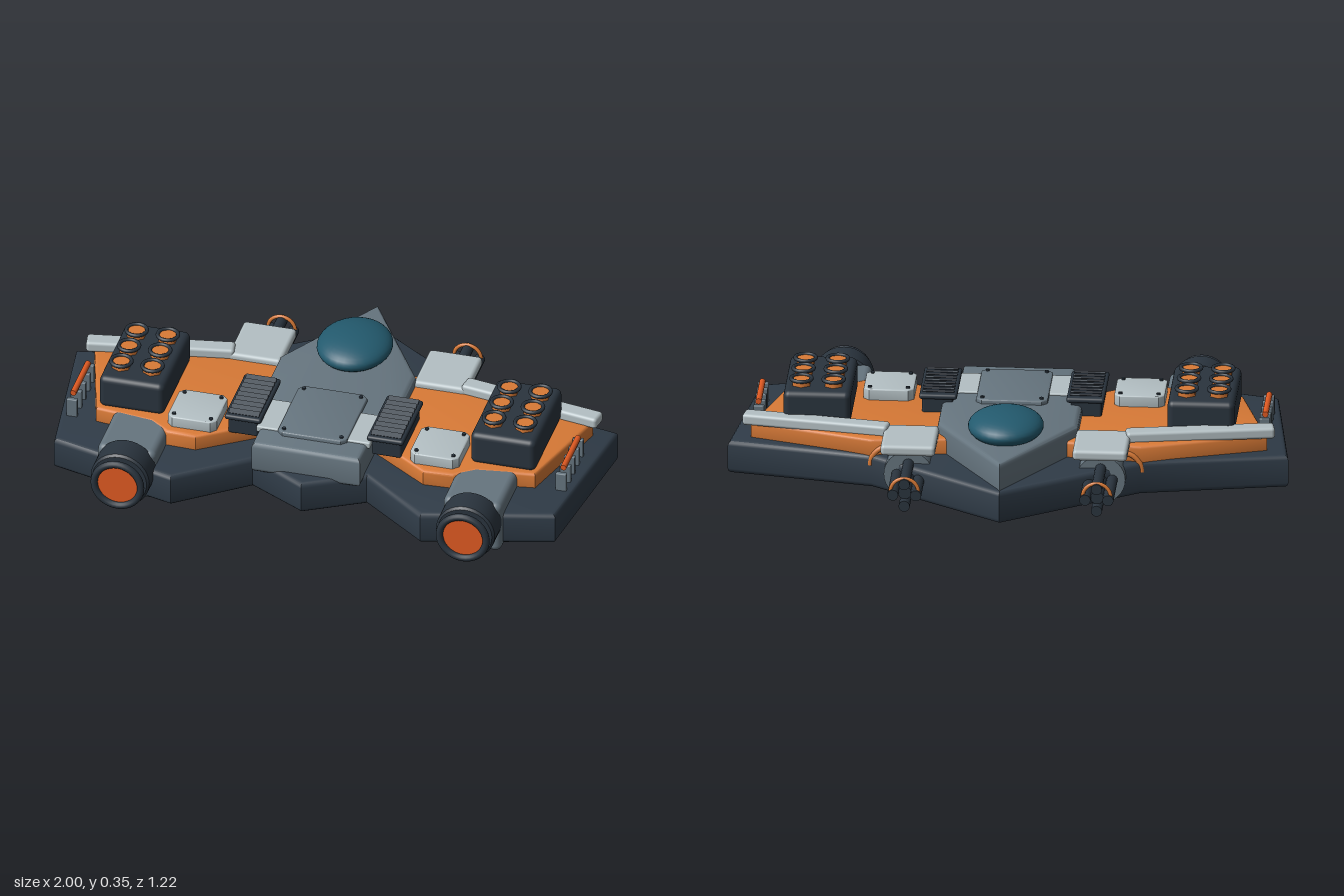
import * as THREE from 'three';
import { RoundedBoxGeometry } from 'three/addons/geometries/RoundedBoxGeometry.js';
import { toCreasedNormals } from 'three/addons/utils/BufferGeometryUtils.js';

const mat = (color) => new THREE.MeshStandardMaterial({ color });
const NAVY = mat(0x2f3b47), DARK = mat(0x2a343e), GREY = mat(0x66757f), LIGHT = mat(0xb4c0c4);
const ORANGE = mat(0xd97a36), GLOW = mat(0xe05a22), TEAL = mat(0x235a6e);

function add(parent, name, geometry, material, x = 0, y = 0, z = 0) {
  const mesh = new THREE.Mesh(geometry, material);
  mesh.name = name;
  mesh.position.set(x, y, z);
  parent.add(mesh);
  return mesh;
}

// Bevelled plate from an outline of [x, z] points, between two heights
function slab(points, y0, y1, bevel) {
  const shape = new THREE.Shape(points.map(([x, z]) => new THREE.Vector2(x, z)));
  const geo = new THREE.ExtrudeGeometry(shape, {
    depth: y1 - y0 - 2 * bevel, bevelThickness: bevel, bevelSize: bevel,
    bevelOffset: -bevel, bevelSegments: 3,
  });
  geo.rotateX(Math.PI / 2).translate(0, y1 - bevel, 0);
  return toCreasedNormals(geo, 0.6);
}

// Full outline from its +x half, listed nose to tail
const mirrored = (half) =>
  [...half, ...half.filter(([x]) => x > 0).reverse().map(([x, z]) => [-x, z])];

// Rounded box given by its limits
function block(parent, name, material, [x0, x1], [y0, y1], [z0, z1], r) {
  return add(parent, name, new RoundedBoxGeometry(x1 - x0, y1 - y0, z1 - z0, 3, r), material,
    (x0 + x1) / 2, (y0 + y1) / 2, (z0 + z1) / 2);
}

// Cylinder lying along z
const rod = (r, length, sides = 32) =>
  new THREE.CylinderGeometry(r, r, length, sides).rotateX(Math.PI / 2);

// Hatch plate with cut corners and a rivet in each
function hatch(parent, name, material, x, z, w, d, y0, y1) {
  const g = new THREE.Group();
  g.name = name;
  const a = w / 2, b = d / 2, c = 0.02;
  const outline = [[a - c, -b], [a, c - b], [a, b - c], [a - c, b],
    [c - a, b], [-a, b - c], [-a, c - b], [c - a, -b]];
  add(g, 'plate', slab(outline, y0, y1, 0.005), material);
  for (const sx of [-1, 1]) for (const sz of [-1, 1])
    add(g, 'rivet', new THREE.CylinderGeometry(0.007, 0.007, 0.008, 10), DARK,
      sx * (a - 0.022), y1 + 0.002, sz * (b - 0.022));
  g.position.set(x, 0, z);
  parent.add(g);
}

function engine(side) {
  const g = new THREE.Group();
  g.name = 'engine';
  block(g, 'nacelle', GREY, [0.53, 0.745], [0, 0.2], [0.12, 0.48], 0.025);
  // Exhaust collar with softened rims
  const collar = [[0, -0.055], [0.1, -0.055], [0.108, -0.047], [0.108, 0.047], [0.1, 0.055], [0, 0.055]];
  const lathe = new THREE.LatheGeometry(collar.map(([r, y]) => new THREE.Vector2(r, y)), 36);
  add(g, 'exhaustCollar', toCreasedNormals(lathe.rotateX(Math.PI / 2), 0.6), DARK, 0.637, 0.122, 0.512);
  add(g, 'exhaustGlow', rod(0.076, 0.03), GLOW, 0.637, 0.122, 0.577);
  add(g, 'exhaustRing', new THREE.TorusGeometry(0.086, 0.013, 12, 36), DARK, 0.637, 0.122, 0.594);
  side.add(g);
}

function rocketPod(side) {
  const g = new THREE.Group();
  g.name = 'rocketPod';
  block(g, 'podBody', DARK, [0.565, 0.805], [0.195, 0.322], [-0.14, 0.235], 0.022);
  for (const x of [0.63, 0.745]) for (const z of [-0.06, 0.043, 0.146]) {
    add(g, 'rocketTip', new THREE.CylinderGeometry(0.034, 0.036, 0.03, 6), ORANGE, x, 0.329, z);
    add(g, 'tubeRing', new THREE.TorusGeometry(0.037, 0.007, 8, 24).rotateX(Math.PI / 2), DARK, x, 0.345, z);
  }
  side.add(g);
}

function gun(side) {
  const g = new THREE.Group();
  g.name = 'gun';
  block(g, 'gunCover', LIGHT, [0.245, 0.44], [0.185, 0.225], [-0.395, -0.175], 0.014);
  add(g, 'gunHousing', rod(0.088, 0.27), GREY, 0.343, 0.1, -0.215);
  for (let i = 0; i < 4; i++) {
    const a = i * Math.PI / 2;
    add(g, 'barrel', rod(0.02, 0.25, 16), DARK, 0.343 + 0.041 * Math.cos(a), 0.1 + 0.041 * Math.sin(a), -0.433);
  }
  add(g, 'barrelCore', rod(0.024, 0.2, 16), DARK, 0.343, 0.1, -0.43);
  add(g, 'muzzleBand', new THREE.TorusGeometry(0.05, 0.007, 8, 20, Math.PI), ORANGE, 0.343, 0.11, -0.545);
  add(g, 'ammoFeed', new THREE.TorusGeometry(0.07, 0.01, 8, 24, Math.PI), ORANGE, 0.415, 0.105, -0.272);
  side.add(g);
}

function vent(side) {
  const g = new THREE.Group();
  g.name = 'vent';
  block(g, 'ventBase', DARK, [0.21, 0.32], [0.19, 0.258], [0.01, 0.265], 0.008);
  block(g, 'ventFrame', DARK, [0.195, 0.33], [0.252, 0.272], [0, 0.278], 0.009);
  for (let i = 0; i < 9; i++) {
    const slat = add(g, 'slat', new THREE.BoxGeometry(0.112, 0.006, 0.022), NAVY, 0.2625, 0.276, 0.026 + i * 0.028);
    slat.rotation.x = 0.45;
  }
  side.add(g);
}

function wingFittings(side) {
  // Painted wing panel
  add(side, 'wingPanel', slab([[0.15, -0.24], [0.48, -0.275], [0.92, -0.13], [0.81, 0.25], [0.6, 0.28],
    [0.53, 0.33], [0.42, 0.335], [0.15, 0.15]], 0.13, 0.202, 0.012), ORANGE);
  // Leading edge strip, swept back towards the tip
  const strip = add(side, 'leadingEdge', new RoundedBoxGeometry(0.53, 0.042, 0.065, 3, 0.012), LIGHT, 0.685, 0.216, -0.165);
  strip.rotation.y = -0.17;
  // Tip light on its row of fins
  add(side, 'tipLight', rod(0.011, 0.2, 12), GLOW, 0.904, 0.223, 0.115);
  for (let i = 0; i < 5; i++)
    block(side, 'tipFin', GREY, [0.882, 0.922], [0.13, 0.213], [-0.003 + i * 0.057, 0.015 + i * 0.057], 0.004);
  // Service panels
  hatch(side, 'servicePanel', LIGHT, 0.447, 0.205, 0.18, 0.185, 0.195, 0.243);
  block(side, 'spineTrim', LIGHT, [0.12, 0.21], [0.225, 0.25], [0.1, 0.285], 0.006);
}

export function createModel() {
  const model = new THREE.Group();
  model.name = 'gunship';

  add(model, 'hull', slab(mirrored([[0, -0.61], [0.48, -0.28], [1, -0.175], [0.925, 0.4], [0.46, 0.525],
    [0.21, 0.335], [0, 0.45]]), 0.02, 0.143, 0.018), NAVY);
  add(model, 'spine', slab(mirrored([[0, -0.595], [0.25, -0.19], [0.25, 0.04], [0.2, 0.12], [0.2, 0.385]]),
    0.12, 0.242, 0.018), GREY);
  const canopy = add(model, 'canopy', new THREE.SphereGeometry(1, 32, 20), TEAL, 0, 0.272, -0.28);
  canopy.scale.set(0.135, 0.057, 0.156);
  hatch(model, 'spineHatch', GREY, 0, 0.155, 0.255, 0.31, 0.225, 0.258);

  // Both halves carry the same fittings
  for (const s of [1, -1]) {
    const side = new THREE.Group();
    side.name = s > 0 ? 'leftSide' : 'rightSide';
    side.scale.x = s;
    engine(side);
    rocketPod(side);
    gun(side);
    vent(side);
    wingFittings(side);
    model.add(side);
  }
  return model;
}
